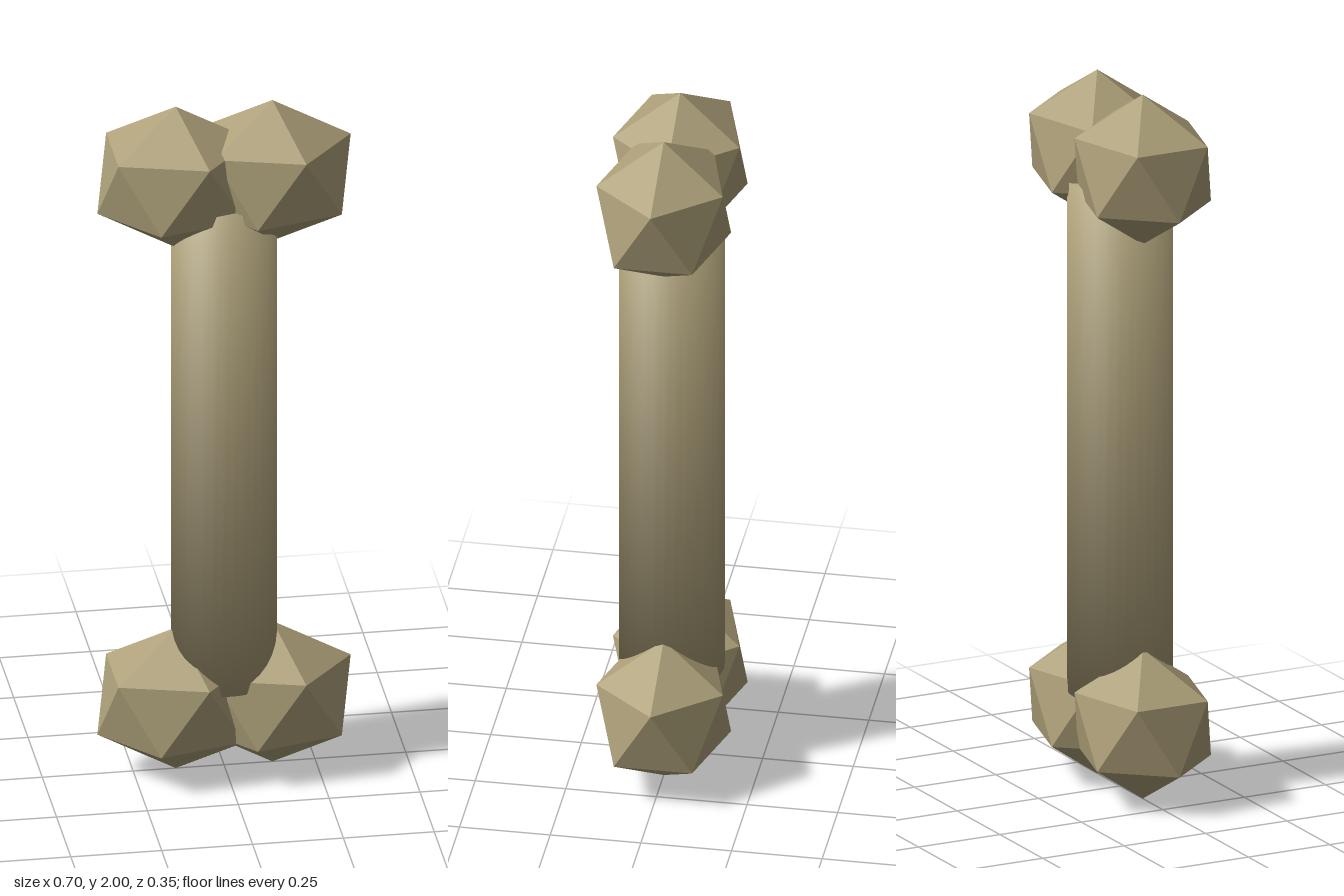
import * as THREE from 'three';
import { mergeVertices } from 'three/addons/utils/BufferGeometryUtils.js';
import { ConvexGeometry } from 'three/addons/geometries/ConvexGeometry.js';

// Faceted knob: a stretched icosahedron with a corner pointing up
function knobGeometry(rx, ry, rz) {
  const points = [new THREE.Vector3(0, ry, 0), new THREE.Vector3(0, -ry, 0)];
  const ring = 2 / Math.sqrt(5), height = 1 / Math.sqrt(5);
  for (let k = 0; k < 10; k++) {
    const a = (k * Math.PI) / 5;
    const side = k % 2 === 0 ? 1 : -1;
    points.push(new THREE.Vector3(Math.cos(a) * ring * rx, side * height * ry, Math.sin(a) * ring * rz));
  }
  return new ConvexGeometry(points);
}

// Shaft: cylinder shaded smoothly across its end rims
function shaftGeometry(radius, length) {
  const raw = new THREE.CylinderGeometry(radius, radius, length, 32);
  raw.deleteAttribute('normal');
  raw.deleteAttribute('uv');
  const geometry = mergeVertices(raw);
  geometry.computeVertexNormals();
  const position = geometry.attributes.position, normal = geometry.attributes.normal;
  const n = new THREE.Vector3();
  for (let i = 0; i < position.count; i++) {
    n.set(position.getX(i) / radius, Math.sign(position.getY(i)), position.getZ(i) / radius).normalize();
    normal.setXYZ(i, n.x, n.y, n.z);
  }
  return geometry;
}

export function createModel() {
  const bone = new THREE.Group();
  bone.name = 'bone';

  const ivory = new THREE.MeshStandardMaterial({ color: 0xada079 });
  ivory.name = 'agedBone';

  const shaft = new THREE.Mesh(shaftGeometry(0.144, 1.45), ivory);
  shaft.name = 'shaft';
  shaft.position.y = 1.0;
  bone.add(shaft);

  // Two knobs side by side at each end
  const knob = knobGeometry(0.241, 0.2125, 0.205);
  for (const [end, y] of [['upper', 1.7875], ['lower', 0.2125]]) {
    for (const [side, x] of [['Left', 0.133], ['Right', -0.133]]) {
      const mesh = new THREE.Mesh(knob, ivory);
      mesh.name = end + side + 'Knob';
      mesh.position.set(x, y, 0);
      bone.add(mesh);
    }
  }
  return bone;
}
